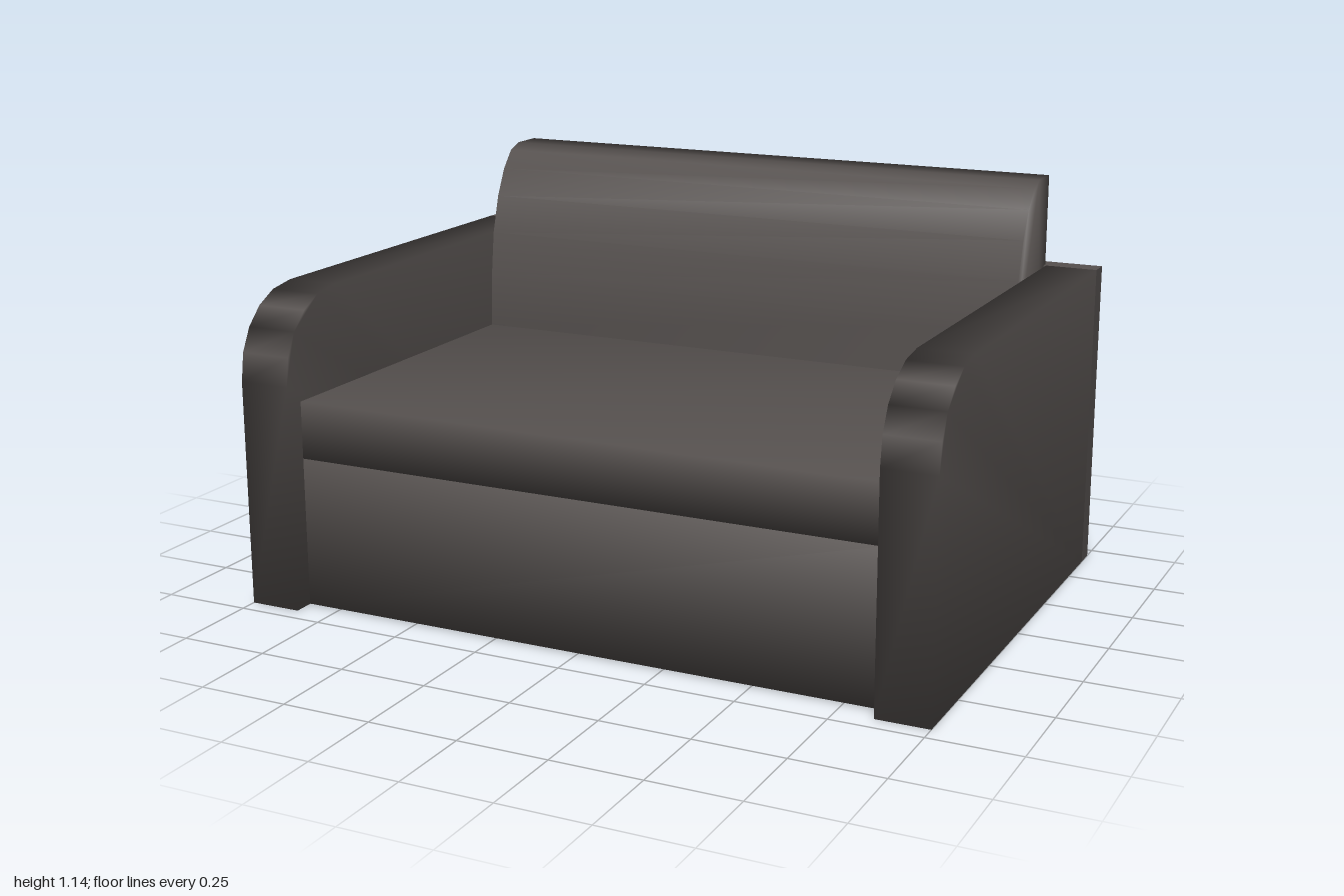
import * as THREE from 'three';
import { mergeVertices } from 'three/addons/utils/BufferGeometryUtils.js';

// Side profile of [z, y] points, extruded along x and centred on x
function profileSolid(points, width, x = 0) {
  const shape = new THREE.Shape(points.map(([z, y]) => new THREE.Vector2(z, y)));
  const geometry = new THREE.ExtrudeGeometry(shape, { depth: width, bevelEnabled: false });
  geometry.translate(0, 0, -width / 2);
  geometry.rotateY(-Math.PI / 2);
  geometry.translate(x, 0, 0);
  return geometry;
}

// Shared corners give the soft upholstered shading
function soften(geometry) {
  geometry.deleteAttribute('normal');
  geometry.deleteAttribute('uv');
  const welded = mergeVertices(geometry, 1e-4);
  welded.computeVertexNormals();
  return welded;
}

function block(width, y0, y1, z0, z1) {
  return new THREE.BoxGeometry(width, y1 - y0, z1 - z0)
    .translate(0, (y0 + y1) / 2, (z0 + z1) / 2);
}

export function createModel() {
  const sofa = new THREE.Group();
  sofa.name = 'sofa';
  const upholstery = new THREE.MeshStandardMaterial({ color: 0x55504e });
  upholstery.name = 'charcoal upholstery';

  const add = (name, geometry) => {
    const mesh = new THREE.Mesh(geometry, upholstery);
    mesh.name = name;
    sofa.add(mesh);
  };

  // Seat base and cushion
  const seatWidth = 1.69;
  add('seatBase', soften(block(seatWidth, 0.005, 0.428, -0.64, 0.65)));
  add('seatCushion', soften(block(seatWidth, 0.428, 0.59, -0.37, 0.65)));

  // Backrest cushion with a curved front
  const backrest = [
    [-0.655, 0.428], [-0.37, 0.428], [-0.37, 0.59], [-0.377, 0.75], [-0.393, 0.88],
    [-0.425, 0.99], [-0.465, 1.07], [-0.51, 1.122], [-0.557, 1.14], [-0.655, 1.14],
  ];
  add('backrestCushion', soften(profileSolid(backrest, seatWidth)));

  // Arms, rounded at the upper front
  const arm = [
    [-0.64, 0], [0.7, 0], [0.7, 0.64], [0.688, 0.72], [0.655, 0.785],
    [0.605, 0.835], [0.54, 0.868], [0.46, 0.88], [-0.64, 0.88],
  ];
  for (const [name, side] of [['leftArm', 1], ['rightArm', -1]]) {
    add(name, soften(profileSolid(arm, 0.148, side * 0.926)));
  }

  // Flat back panel
  add('backPanel', block(2, 0, 0.88, -0.7, -0.64));
  return sofa;
}
